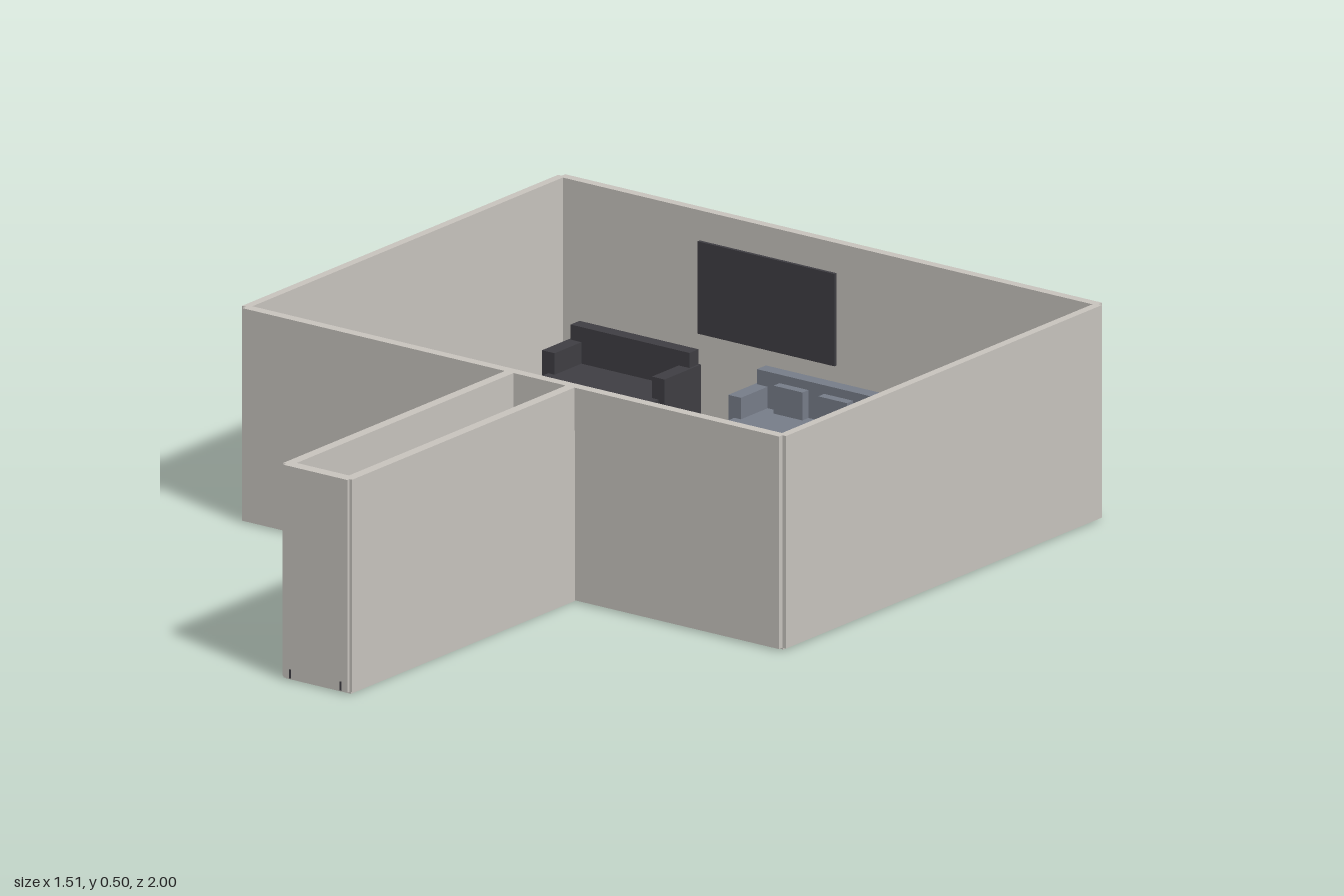
import * as THREE from 'three';

const makeMaterial = (name, color) => {
  const m = new THREE.MeshStandardMaterial({ color });
  m.name = name;
  return m;
};

export function createModel() {
  const plaster = makeMaterial('plaster', 0xc8c4be);
  const charcoal = makeMaterial('charcoal', 0x3f3e43);
  const slate = makeMaterial('slate blue', 0x777d89);
  const brown = makeMaterial('brown', 0x9a6b54);
  const yellow = makeMaterial('yellow', 0xc8bd4c);

  const model = new THREE.Group();
  model.name = 'furnishedRoom';

  // Box given by its extents along each axis
  const box = (name, mat, [x0, x1], [y0, y1], [z0, z1], parent = model) => {
    const mesh = new THREE.Mesh(new THREE.BoxGeometry(x1 - x0, y1 - y0, z1 - z0), mat);
    mesh.position.set((x0 + x1) / 2, (y0 + y1) / 2, (z0 + z1) / 2);
    mesh.name = name;
    parent.add(mesh);
    return mesh;
  };
  const cylinder = (name, mat, r, y0, y1, x, z, parent = model) => {
    const mesh = new THREE.Mesh(new THREE.CylinderGeometry(r, r, y1 - y0, 32), mat);
    mesh.position.set(x, (y0 + y1) / 2, z);
    mesh.name = name;
    parent.add(mesh);
    return mesh;
  };
  const group = (name, x = 0, z = 0) => {
    const g = new THREE.Group();
    g.name = name;
    g.position.set(x, 0, z);
    model.add(g);
    return g;
  };

  // Floors
  const floorTop = 0.006;
  box('roomFloor', plaster, [-0.745, 0.745], [0, floorTop], [-0.985, 0.165]);
  box('corridorFloor', plaster, [-0.008, 0.172], [0, floorTop], [0.165, 0.99]);

  // Room walls, with small notches at the outer corners
  const high = [0.005, 0.5];
  box('backWall', plaster, [-0.745, 0.745], high, [-1, -0.978]);
  box('rightWall', plaster, [-0.755, -0.735], high, [-0.987, 0.168]);
  box('leftWall', plaster, [0.735, 0.755], high, [-0.987, 0.168]);
  box('frontWallRight', plaster, [-0.745, -0.017], high, [0.156, 0.18]);
  box('frontWallLeft', plaster, [0.178, 0.745], high, [0.156, 0.18]);

  // Corridor walls
  box('corridorRightWall', plaster, [-0.016, 0.008], high, [0.17, 0.992]);
  box('corridorLeftWall', plaster, [0.153, 0.177], high, [0.17, 0.992]);
  box('corridorEndWall', plaster, [-0.008, 0.17], high, [0.972, 1]);

  // Skirting boards
  const low = [floorTop, 0.027];
  box('backSkirting', charcoal, [-0.735, 0.735], low, [-0.978, -0.972]);
  box('rightSkirting', charcoal, [-0.735, -0.729], low, [-0.978, 0.156]);
  box('leftSkirting', charcoal, [0.729, 0.735], low, [-0.978, 0.156]);
  box('frontSkirtingRight', charcoal, [-0.735, -0.017], low, [0.15, 0.156]);
  box('frontSkirtingLeft', charcoal, [0.178, 0.735], low, [0.15, 0.156]);
  box('corridorSkirtingRight', charcoal, [0.008, 0.013], low, [0.18, 1.0005]);
  box('corridorSkirtingLeft', charcoal, [0.148, 0.153], low, [0.18, 1.0005]);

  // Doorway
  box('doorLintel', plaster, [-0.017, 0.178], [0.4, 0.5], [0.156, 0.18]);
  box('door', brown, [-0.017, 0.178], [floorTop, 0.35], [0.163, 0.175]);
  cylinder('doorPost', plaster, 0.013, floorTop, 0.1, 0.08, 0.161);

  // Corridor fittings
  box('corridorMat', charcoal, [0.013, 0.13], [floorTop, 0.025], [0.18, 0.255]);
  cylinder('corridorDisc', slate, 0.032, 0.025, 0.035, 0.08, 0.185);
  for (let i = 0; i < 8; i++) {
    const z = 0.187 + i * 0.086;
    box('corridorPanel', plaster, [0.132, 0.153], [0.1, 0.4], [z, z + 0.075]);
  }

  // Floor stripe and wall screen
  box('floorStripe', charcoal, [-0.729, 0.729], [floorTop, 0.01], [0.055, 0.135]);
  box('wallScreen', charcoal, [-0.355, 0.025], [0.215, 0.43], [-0.978, -0.97]);

  // Sofas: seat, back, two arms and short feet
  const sofa = (name, mat, x, cushions) => {
    const g = group(name, x, -0.825);
    const w = 0.165;
    box('seat', mat, [-w + 0.012, w - 0.012], [0.035, 0.12], [-0.075, 0.087], g);
    box('back', mat, [-w, w], [0.035, 0.205], [-0.083, -0.05], g);
    for (const s of [-1, 1]) {
      const a = s * (w + 0.005), b = s * (w - 0.03);
      box('arm', mat, [Math.min(a, b), Math.max(a, b)], [0.035, 0.17], [-0.085, 0.048], g);
      for (const z of [-0.06, 0.06]) {
        cylinder('foot', charcoal, 0.008, floorTop, 0.035, s * 0.13, z, g);
      }
      if (cushions) {
        box('cushion', mat, [s * 0.062 - 0.04, s * 0.062 + 0.04], [0.12, 0.185], [-0.05, -0.028], g);
      }
    }
  };
  sofa('darkSofa', charcoal, -0.47, false);
  sofa('blueSofa', slate, 0.047, true);

  // Chairs along the left wall, facing the room
  const chair = (name, mat, z, size = 0.06) => {
    const g = group(name, 0.645, z);
    box('seat', mat, [-size, size], [0.075, 0.1], [-size, size], g);
    box('back', mat, [size - 0.021, size], [0.1, 0.222], [-size, size], g);
    for (const sx of [-1, 1]) for (const sz of [-1, 1]) {
      cylinder('leg', mat, 0.004, floorTop, 0.075, sx * (size - 0.01), sz * (size - 0.01), g);
    }
  };
  chair('yellowChair', yellow, -0.843, 0.053);
  for (const z of [-0.71, -0.495, -0.28]) chair('brownChair', brown, z);
  chair('darkChair', charcoal, -0.05);

  // Low cabinet and round stool
  box('lowCabinet', charcoal, [-0.7, -0.56], [floorTop, 0.13], [-0.16, -0.07]);
  cylinder('roundStool', plaster, 0.04, floorTop, 0.17, -0.435, -0.112);

  return model;
}
